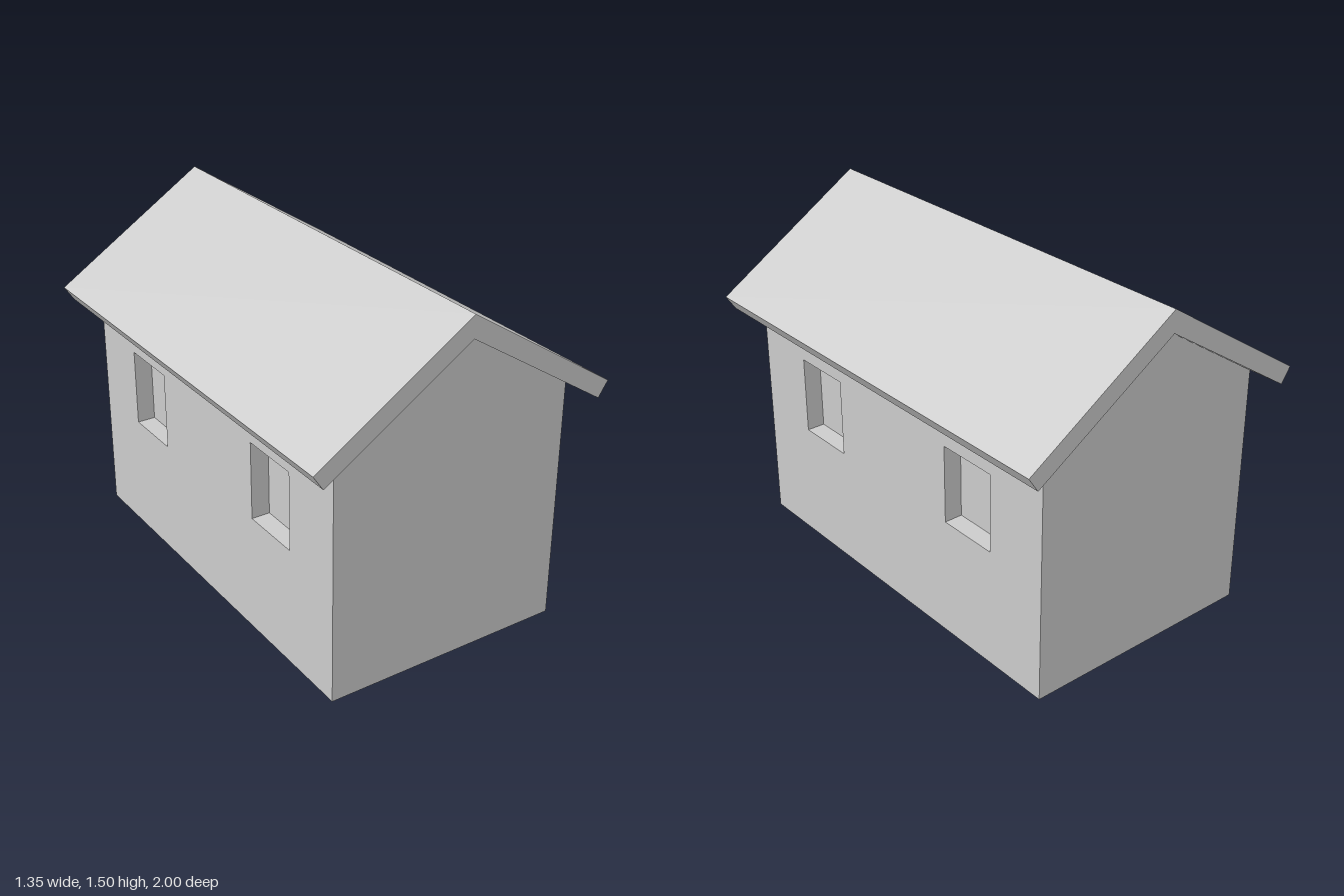
import * as THREE from 'three';

const W = 0.535, D = 0.917;          // half width and half depth of the walls
const EAVE = 1.061, APEX = 1.405;    // wall top at the sides and at the gable
const WIN = { z: 0.487, y: 0.69, w: 0.274, h: 0.34, depth: 0.08 };

const material = new THREE.MeshStandardMaterial({ color: 0xcccccc, flatShading: true });

const outline = (pts) => new THREE.Shape(pts.map(([x, y]) => new THREE.Vector2(x, y)));

function add(parent, name, geometry) {
  const mesh = new THREE.Mesh(geometry, material);
  mesh.name = name;
  parent.add(mesh);
  return mesh;
}

// Box turned inside out and open towards +x
function recessGeometry(depth, height, width) {
  const box = new THREE.BoxGeometry(depth, height, width);
  box.setIndex(Array.from(box.index.array).slice(6).reverse());
  const n = box.attributes.normal;
  for (let i = 0; i < n.count; i++) n.setXYZ(i, -n.getX(i), -n.getY(i), -n.getZ(i));
  return box;
}

// One side wall with its windows, plus one gable wall
function createHalf() {
  const half = new THREE.Group();

  const side = outline([[-D, 0], [D, 0], [D, EAVE], [-D, EAVE]]);
  for (const s of [-1, 1]) {
    const z0 = s * WIN.z - WIN.w / 2, z1 = z0 + WIN.w;
    const y0 = WIN.y - WIN.h / 2, y1 = y0 + WIN.h;
    side.holes.push(outline([[z0, y0], [z0, y1], [z1, y1], [z1, y0]]));
    add(half, 'windowRecess', recessGeometry(WIN.depth, WIN.h, WIN.w))
      .position.set(W - WIN.depth / 2, WIN.y, s * WIN.z);
  }
  add(half, 'sideWall', new THREE.ShapeGeometry(side).rotateY(Math.PI / 2).translate(W, 0, 0));

  const gable = outline([[-W, 0], [W, 0], [W, EAVE], [0, APEX], [-W, EAVE]]);
  add(half, 'gableWall', new THREE.ShapeGeometry(gable).translate(0, 0, D));
  return half;
}

export function createModel() {
  const house = new THREE.Group();
  house.name = 'house';

  // Walls: the second half is the first turned around
  for (const [name, turn] of [['frontLeftWalls', 0], ['backRightWalls', Math.PI]]) {
    const half = createHalf();
    half.name = name;
    half.rotation.y = turn;
    house.add(half);
  }

  // Underside of the house
  add(house, 'floor', new THREE.PlaneGeometry(2 * W, 2 * D).rotateX(Math.PI / 2));

  // Pitched roof slab overhanging on all sides
  const roof = outline([[0, 1.5], [-0.675, 1.065], [-0.632, 1], [0, APEX], [0.632, 1], [0.675, 1.065]]);
  add(house, 'roof', new THREE.ExtrudeGeometry(roof, { depth: 2, bevelEnabled: false }).translate(0, 0, -1));

  return house;
}
